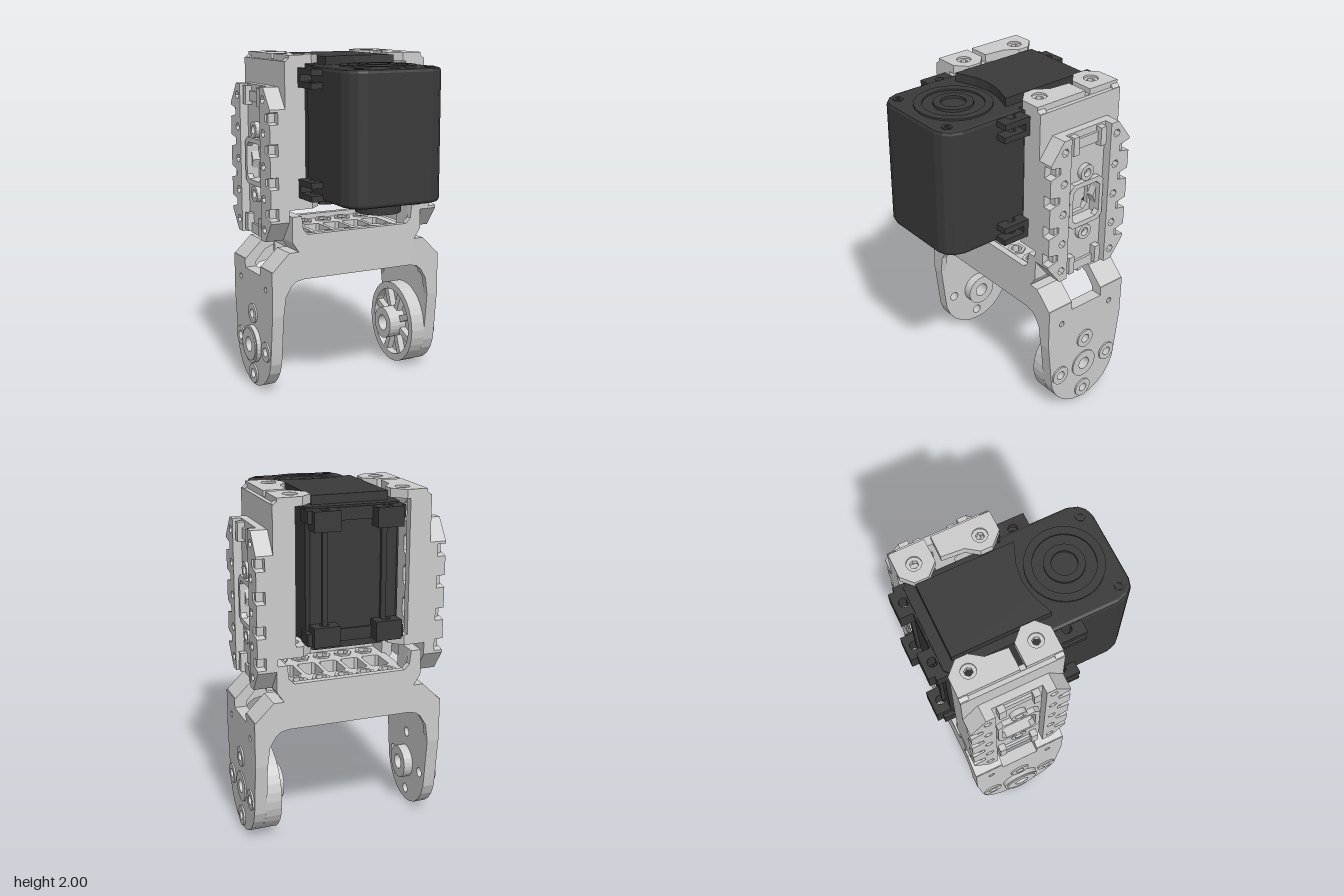
import * as THREE from 'three';

const grey = new THREE.MeshStandardMaterial({ color: 0xcccccc });
const dark = new THREE.MeshStandardMaterial({ color: 0x3a3a3a });
const MID = -0.21; // z of the bracket centre plane

const ngon = (u, v, r, n = 16, a0 = 0) => Array.from({ length: n }, (_, i) => {
  const a = a0 + (i / n) * Math.PI * 2;
  return new THREE.Vector2(u + r * Math.cos(a), v + r * Math.sin(a));
});
const rect = (u0, v0, u1, v1, c = 0) => c
  ? [[u0 + c, v0], [u1 - c, v0], [u1, v0 + c], [u1, v1 - c], [u1 - c, v1], [u0 + c, v1], [u0, v1 - c], [u0, v0 + c]]
  : [[u0, v0], [u1, v0], [u1, v1], [u0, v1]];
const vecs = pts => pts.map(p => (p.isVector2 ? p : new THREE.Vector2(p[0], p[1])));

// Extrudes an outline between two values of an axis: z takes (x,y), y takes (x,z), x takes (z,y)
function prism(parent, name, mat, axis, from, to, pts, holes = [], bevel = 0) {
  const shape = new THREE.Shape(vecs(pts));
  for (const h of holes) shape.holes.push(new THREE.Path(vecs(h)));
  const g = new THREE.ExtrudeGeometry(shape, {
    depth: to - from - 2 * bevel, bevelEnabled: bevel > 0, bevelSize: bevel,
    bevelThickness: bevel, bevelOffset: -bevel, bevelSegments: 2,
  });
  if (axis === 'z') g.translate(0, 0, from + bevel);
  if (axis === 'y') g.rotateX(Math.PI / 2).translate(0, to - bevel, 0);
  if (axis === 'x') g.rotateY(-Math.PI / 2).translate(to - bevel, 0, 0);
  const m = new THREE.Mesh(g, mat);
  m.name = name;
  parent.add(m);
  return m;
}
const ring = (parent, name, mat, axis, from, to, u, v, r, hole, n = 24) =>
  prism(parent, name, mat, axis, from, to, ngon(u, v, r, n), hole ? [ngon(u, v, hole, n)] : []);
function box(parent, name, mat, x0, x1, y0, y1, z0, z1) {
  const m = new THREE.Mesh(new THREE.BoxGeometry(x1 - x0, y1 - y0, z1 - z0), mat);
  m.position.set((x0 + x1) / 2, (y0 + y1) / 2, (z0 + z1) / 2);
  m.name = name;
  parent.add(m);
}
function group(parent, name) {
  const g = new THREE.Group();
  g.name = name;
  parent.add(g);
  return g;
}

function motor(root) {
  const g = group(root, 'motor');
  // Rounded front housing and slimmer rear housing
  const front = [[-0.305, 0.06], [0.305, 0.06], [0.305, 0.47], [0.285, 0.53], [0.25, 0.565], [0.2, 0.58],
    [-0.2, 0.58], [-0.25, 0.565], [-0.285, 0.53], [-0.305, 0.47]];
  prism(g, 'frontHousing', dark, 'y', 1.19, 1.94, front, [], 0.02);
  prism(g, 'rearHousing', dark, 'y', 1.19, 1.94, rect(-0.27, -0.5, 0.27, 0.1, 0.02));
  // Raised covers, the top one cut round the output horn
  prism(g, 'topCover', dark, 'y', 1.93, 1.99, [[-0.22, -0.44], [0.22, -0.44], [0.22, 0.12], [0.1, 0.075],
    [0, 0.06], [-0.1, 0.075], [-0.22, 0.12]]);
  prism(g, 'bottomCover', dark, 'y', 1.13, 1.2, rect(-0.22, -0.44, 0.23, 0.06, 0.03));
  ring(g, 'bottomCap', dark, 'y', 1.12, 1.2, 0.01, 0.32, 0.13, 0.06);
  // Output horn
  ring(g, 'hornRim', dark, 'y', 1.92, 1.95, 0.01, 0.31, 0.215, 0.17, 32);
  ring(g, 'hornHub', dark, 'y', 1.92, 1.955, 0.01, 0.31, 0.11, 0.07, 32);
  for (const s of [-1, 1]) {
    ring(g, 'capScrew', dark, 'y', 1.92, 1.945, s * 0.22, 0.51, 0.03, 0.015, 6);
    box(g, 'rearRib', dark, s * 0.17 - 0.015, s * 0.17 + 0.015, 1.28, 1.84, -0.52, -0.49);
    for (const [y0, y1] of [[1.19, 1.3], [1.82, 1.93]]) {
      // Mounting lugs at the sides and rear
      for (const [a, b] of [[y0, y0 + 0.035], [y1 - 0.035, y1]])
        prism(g, 'sideLug', dark, 'y', a, b, rect(s * 0.33 - 0.045, 0.08, s * 0.33 + 0.045, 0.25),
          [ngon(s * 0.315, 0.16, 0.027, 12)]);
      box(g, 'sideLugWeb', dark, s * 0.33 - 0.045, s * 0.33 + 0.045, y0, y1, 0.08, 0.11);
      prism(g, 'rearLug', dark, 'y', y0, y1, rect(s * 0.18 - 0.075, -0.585, s * 0.18 + 0.075, -0.49),
        [ngon(s * 0.18, -0.53, 0.027, 12)]);
    }
  }
  for (const y of [1.19, 1.86])
    prism(g, 'rearLip', dark, 'y', y, y + 0.07, [[-0.28, -0.44], [-0.28, -0.55], [-0.25, -0.55], [-0.25, -0.51],
      [0.25, -0.51], [0.25, -0.55], [0.28, -0.55], [0.28, -0.44]]);
}

// One side of the upper frame, in z measured from the bracket centre plane
function sideFrame(root, name, turn) {
  const g = group(root, name);
  g.position.z = MID;
  g.rotation.y = turn;
  // Upright walls and web
  const upright = [[0.33, 1.12], [0.455, 1.12], [0.455, 1.96], [0.41, 2], [0.33, 2]];
  prism(g, 'rearWall', grey, 'z', -0.29, -0.24, upright);
  prism(g, 'frontWall', grey, 'z', 0.24, 0.29, upright);
  const grid = [];
  for (const y of [1.28, 1.47, 1.65, 1.84]) for (const w of [-0.14, 0.14]) grid.push(rect(w - 0.08, y - 0.06, w + 0.08, y + 0.06, 0.02));
  prism(g, 'web', grey, 'x', 0.4, 0.43, rect(-0.25, 1.12, 0.25, 1.97), grid);
  prism(g, 'webSkin', grey, 'x', 0.425, 0.455, rect(-0.29, 1.12, 0.29, 1.965), [rect(-0.08, 1.28, 0.08, 1.48, 0.03)]);
  // Mounting tabs over and under the motor
  const tabs = [
    [[0.43, -0.29], [0.29, -0.29], [0.225, -0.23], [0.225, -0.15], [0.29, -0.085], [0.43, -0.085]],
    [[0.43, -0.05], [0.3, -0.05], [0.29, 0.08], [0.24, 0.15], [0.24, 0.22], [0.31, 0.29], [0.43, 0.29]],
  ];
  tabs.forEach((t, i) => {
    const w = i ? 0.185 : -0.19;
    for (const [y0, y1, e] of [[1.95, 2, 0.004], [1.12, 1.18, 0]]) {
      prism(g, 'mountTab', grey, 'y', y0, y1, t, [ngon(0.325, w, 0.042)]);
      prism(g, 'tabNut', grey, 'y', y0 + 0.005, y1 - 0.015 + e, ngon(0.325, w, 0.043, 16), [ngon(0.325, w, 0.024, 6)]);
    }
  });
  // Octagonal side panel with hole grid
  const rows = [1.75, 1.56, 1.37, 1.18];
  const oct = [[-0.2, 0.93], [0.2, 0.93], [0.29, 1.05], [0.29, 1.7], [0.2, 1.82], [-0.2, 1.82], [-0.29, 1.7], [-0.29, 1.05]];
  const holes = rows.flatMap(y => [-0.19, 0.19].map(w => ngon(w, y, 0.025, 6)));
  holes.push(ngon(-0.19, 1, 0.025, 8), ngon(0.19, 1, 0.025, 8), ngon(0, 1.75, 0.024, 6), ngon(0, 1.56, 0.024, 6), ngon(0, 1.18, 0.024, 8),
    [[-0.1, 1.26], [0.1, 1.26], [0.1, 1.32], [0.08, 1.37], [0.1, 1.42], [0.1, 1.48], [-0.1, 1.48], [-0.1, 1.42], [-0.08, 1.37], [-0.1, 1.32]]);
  prism(g, 'sidePanel', grey, 'x', 0.435, 0.5, oct, holes);
  // Raised rails with notched outer edges
  for (const s of [-1, 1]) {
    const edge = [[0.145, 0.93], [0.2, 0.93], [0.29, 1.05]];
    for (const y of [1.1, 1.28, 1.47, 1.65])
      edge.push([0.29, y - 0.035], [0.22, y - 0.02], [0.22, y + 0.02], [0.29, y + 0.035]);
    edge.push([0.29, 1.7], [0.2, 1.82], [0.145, 1.82]);
    prism(g, 'rail', grey, 'x', 0.495, 0.55, edge.map(([w, y]) => [w * s, y]),
      [...rows, 1].map(y => ngon(0.19 * s, y, 0.025, 6)));
    for (const y of [1.1, 1.28, 1.47, 1.65])
      box(g, 'notchPeg', grey, 0.495, 0.54, y - 0.035, y + 0.035, s * 0.235 - 0.012, s * 0.235 + 0.012);
    for (const y of [0.94, 1.7])
      box(g, 'channelRib', grey, 0.495, 0.54, y, y + 0.11, s * 0.1 - 0.02, s * 0.1 + 0.02);
  }
  // Central window surround and bosses
  const rim = rect(-0.125, 1.23, 0.125, 1.51, 0.03);
  prism(g, 'windowSurround', grey, 'x', 0.495, 0.53, rim, [rect(-0.1, 1.26, 0.1, 1.48, 0.025)]);
  for (const y of [1.56, 1.18]) ring(g, 'boss', grey, 'x', 0.495, 0.53, 0, y, 0.048, 0.025, 16);
  for (const y of [0.93, 1.72]) box(g, 'channelBlock', grey, 0.495, 0.515, y, y + 0.06, -0.09, 0.09);
}

function fork(root) {
  const g = group(root, 'fork');
  g.position.set(0.012, 0, MID);
  // Front and rear bridge walls
  const half = [[0.33, 0.97], [0.36, 1], [0.37, 1.08], [0.43, 1.08], [0.43, 0.93], [0.39, 0.87], [0.45, 0.87], [0.562, 0.76],
    [0.562, 0.5], [0.49, 0.5], [0.475, 0.61], [0.44, 0.67], [0.41, 0.695], [0.36, 0.705]];
  const profile = [...half, ...half.map(([x, y]) => [-x, y]).reverse()];
  prism(g, 'rearBridgeWall', grey, 'z', -0.29, -0.25, profile);
  prism(g, 'frontBridgeWall', grey, 'z', 0.25, 0.29, profile);
  // Perforated bridge deck with ribs below
  const cells = [];
  for (let i = -2; i <= 2; i++) {
    for (const w of [-0.18, 0.18]) cells.push(ngon(i * 0.135, w, 0.04, 6));
    cells.push(rect(i * 0.135 - 0.055, -0.09, i * 0.135 + 0.055, 0.09, 0.015));
  }
  prism(g, 'bridgeDeck', grey, 'y', 0.86, 0.94, rect(-0.38, -0.27, 0.38, 0.27), cells);
  for (const w of [-0.115, 0.115]) box(g, 'deckRib', grey, -0.37, 0.37, 0.79, 0.9, w - 0.012, w + 0.012);
  for (let i = -2; i <= 2; i++) for (const w of [-0.18, 0.18]) ring(g, 'deckNut', grey, 'y', 0.83, 0.95, i * 0.135, w, 0.055, 0.035, 6);
  for (const s of [-1, 1]) {
    const mir = p => p.map(([x, y]) => [x * s, y]);
    // Shoulders either side of the corner slot, and the upright lugs
    for (const [a, b] of [[-0.26, -0.115], [0.115, 0.26]]) {
      prism(g, 'shoulder', grey, 'z', a, b, mir([[0.562, 0.76], [0.45, 0.87], [0.36, 0.87], [0.36, 0.84], [0.43, 0.81], [0.49, 0.74], [0.562, 0.74]]));
      prism(g, 'frameLug', grey, 'z', a, b, mir([[0.36, 0.87], [0.39, 0.87], [0.43, 0.93], [0.43, 1.08], [0.37, 1.08]]));
    }
    // Arm with rounded foot
    const foot = Array.from({ length: 13 }, (_, i) => {
      const a = Math.PI * (1 + i / 12);
      return [0.26 * Math.cos(a), 0.26 + 0.26 * Math.sin(a)];
    });
    const outline = [...foot, [0.29, 0.52], [0.29, 0.765], [0.115, 0.765], [0.115, 0.71], [-0.115, 0.71], [-0.115, 0.765], [-0.29, 0.765], [-0.29, 0.52]];
    const bolts = [[0, 0.45], [0, 0.07], [-0.19, 0.26], [0.19, 0.26]];
    const lo = s > 0 ? 0.49 : -0.562;
    prism(g, 'arm', grey, 'x', lo, lo + 0.072, outline, [...bolts.map(([w, y]) => ngon(w, y, 0.03)),
      ngon(0, 0.26, 0.06), ngon(-0.19, 0.64, 0.019, 10), ngon(0.19, 0.64, 0.019, 10)]);
    const out = s > 0 ? 0.55 : -0.572;
    for (const [w, y] of bolts) ring(g, 'boltCollar', grey, 'x', out, out + 0.022, w, y, 0.06, 0.028, 20);
  }
  // Spoked horn wheel inside the left arm
  const wheel = group(g, 'hornWheel');
  ring(wheel, 'wheelRim', grey, 'x', 0.4, 0.495, 0, 0.26, 0.26, 0.215, 32);
  ring(wheel, 'wheelPlate', grey, 'x', 0.45, 0.492, 0, 0.26, 0.23, 0.05, 32);
  ring(wheel, 'wheelHub', grey, 'x', 0.335, 0.5, 0, 0.26, 0.1, 0.05);
  ring(wheel, 'outerCollar', grey, 'x', 0.49, 0.57, 0, 0.26, 0.09, 0.04);
  for (let i = 0; i < 8; i++) {
    const a = (i + 0.5) * Math.PI / 4;
    const spoke = new THREE.Mesh(new THREE.BoxGeometry(0.06, 0.14, 0.04), grey);
    spoke.name = 'spoke';
    spoke.position.set(0.44, 0.26 + 0.155 * Math.cos(a), 0.155 * Math.sin(a));
    spoke.rotation.x = a;
    wheel.add(spoke);
  }
  // Bearing through the right arm
  ring(g, 'bearing', grey, 'x', -0.597, -0.435, 0, 0.26, 0.1, 0.045);
  ring(g, 'bearingFlange', grey, 'x', -0.59, -0.55, 0, 0.26, 0.115, 0.06);
}

export function createModel() {
  const root = new THREE.Group();
  root.name = 'servoJoint';
  motor(root);
  sideFrame(root, 'leftFrame', 0);
  sideFrame(root, 'rightFrame', Math.PI);
  fork(root);
  return root;
}
